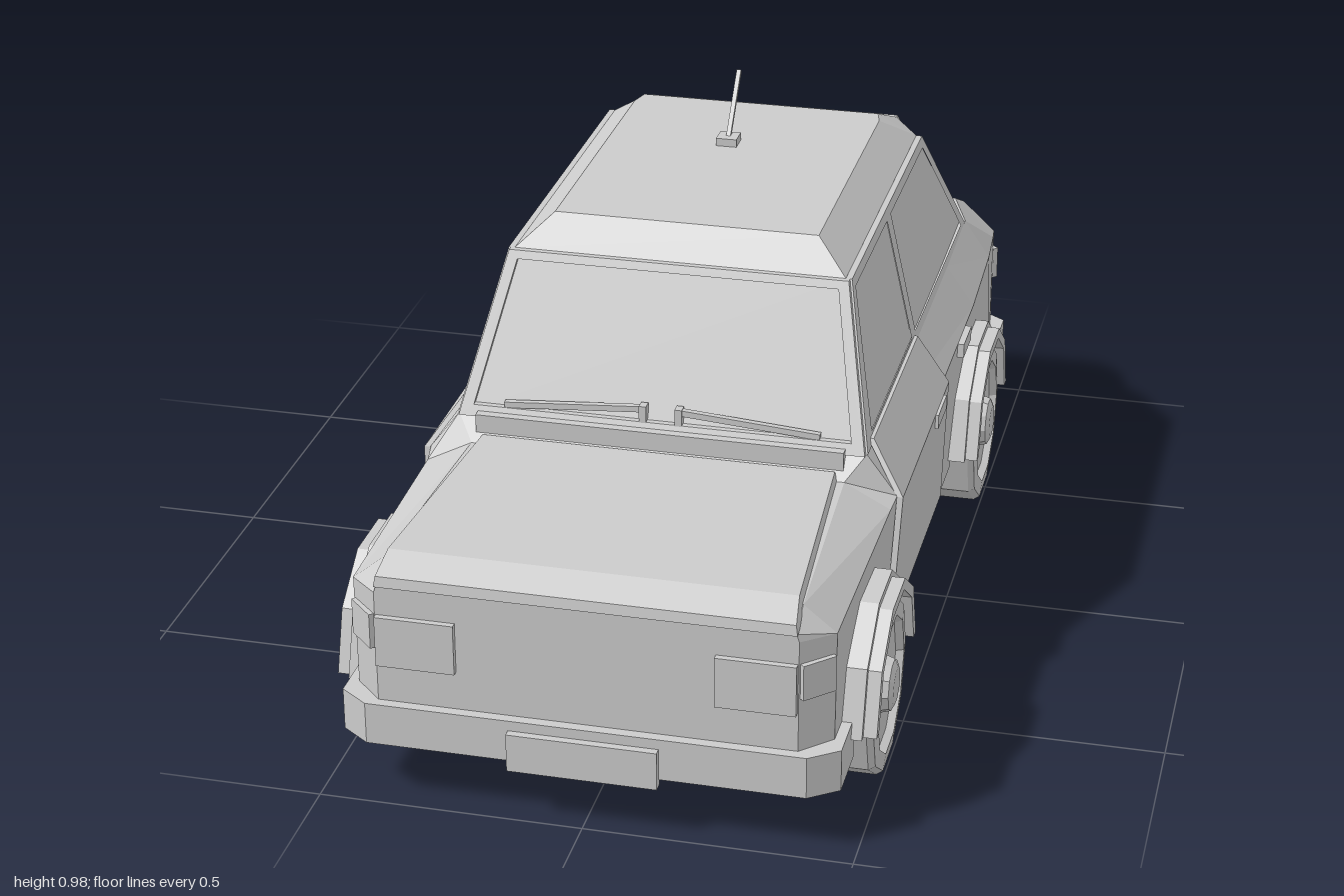
import * as THREE from 'three';

const grey = new THREE.MeshStandardMaterial({ color: 0xcccccc, flatShading: true });

export function createModel() {
  const car = new THREE.Group();

  const add = (name, geo) => {
    const mesh = new THREE.Mesh(geo, grey);
    mesh.name = name;
    car.add(mesh);
    return mesh;
  };

  // Mirrors a geometry in x and restores its winding
  const mirrored = (geo) => {
    const g = geo.index ? geo.toNonIndexed() : geo.clone();
    g.scale(-1, 1, 1);
    const p = g.attributes.position;
    const a = new THREE.Vector3(), b = new THREE.Vector3();
    for (let i = 0; i < p.count; i += 3) {
      a.fromBufferAttribute(p, i + 1);
      b.fromBufferAttribute(p, i + 2);
      p.setXYZ(i + 1, b.x, b.y, b.z);
      p.setXYZ(i + 2, a.x, a.y, a.z);
    }
    g.computeVertexNormals();
    return g;
  };
  const pair = (name, geo) => {
    add('left' + name, geo);
    add('right' + name, mirrored(geo));
  };

  const box = (w, h, d, x, y, z, turn = 0) =>
    new THREE.BoxGeometry(w, h, d).rotateY(turn).translate(x, y, z);

  // Skin over half sections of [x, y, z], each mirrored into a closed ring
  const loft = (halves) => {
    const rings = halves.map((h) => [...h, ...h.map(([x, y, z]) => [-x, y, z]).reverse()]);
    const n = rings[0].length, index = [];
    for (let k = 0; k < rings.length - 1; k++) {
      for (let i = 0; i < n; i++) {
        const a = k * n + i, b = k * n + (i + 1) % n;
        index.push(a, a + n, b, b, a + n, b + n);
      }
    }
    const last = (rings.length - 1) * n;
    for (let i = 1; i < n - 1; i++) index.push(0, i, i + 1, last, last + i + 1, last + i);
    const g = new THREE.BufferGeometry();
    g.setAttribute('position', new THREE.Float32BufferAttribute(rings.flat(2), 3));
    g.setIndex(index);
    g.computeVertexNormals();
    return g;
  };

  const vec = (pts) => pts.map(([x, y]) => new THREE.Vector2(x, y));

  // Sheet cut from an outline, leaned so its depth follows lean(y), then turned
  const sheet = (outline, holes, thick, lean, turn) => {
    const shape = new THREE.Shape(vec(outline));
    for (const h of holes) shape.holes.push(new THREE.Path(vec(h)));
    const g = new THREE.ExtrudeGeometry(shape, { depth: thick, bevelEnabled: false });
    const p = g.attributes.position;
    for (let i = 0; i < p.count; i++) p.setZ(i, p.getZ(i) + lean(p.getY(i)));
    g.rotateY(turn);
    g.computeVertexNormals();
    return g;
  };
  // Side sheets are drawn in [z, y]
  const sideSheet = (outline, holes, thick, lean) => {
    const flip = (pts) => pts.map(([z, y]) => [-z, y]);
    return sheet(flip(outline), holes.map(flip), thick, lean, Math.PI / 2);
  };

  // Lower body: z, bottom x, shoulder x and y, deck x and y
  const stations = [
    [0.965, 0.39, 0.39, 0.42, 0.385, 0.435],
    [0.91, 0.445, 0.447, 0.415, 0.385, 0.465],
    [0.44, 0.45, 0.455, 0.42, 0.365, 0.467],
    [0.4, 0.45, 0.46, 0.43, 0.4, 0.51],
    [-0.5, 0.45, 0.46, 0.43, 0.4, 0.515],
    [-0.74, 0.45, 0.455, 0.44, 0.4, 0.52],
    [-0.85, 0.447, 0.447, 0.44, 0.36, 0.525],
    [-0.91, 0.44, 0.44, 0.43, 0.37, 0.495],
    [-0.965, 0.385, 0.385, 0.41, 0.37, 0.43],
  ];
  add('lowerBody', loft(stations.map(([z, bx, sx, sy, dx, dy]) =>
    [[bx, 0.16, z], [sx, sy, z], [dx, dy, z]])));

  // Hood plate and cowl
  add('hood', loft([
    [[0.388, 0.435, 0.972], [0.385, 0.455, 0.968]],
    [[0.388, 0.45, 0.91], [0.378, 0.482, 0.91]],
    [[0.355, 0.45, 0.43], [0.345, 0.482, 0.43]],
  ]));
  add('cowl', box(0.72, 0.06, 0.05, 0, 0.49, 0.4));

  // Cabin, from roof down to the beltline
  add('cabin', loft([
    [[0.26, 0.857, 0.19], [0.26, 0.857, -0.43], [0.25, 0.857, -0.47]],
    [[0.325, 0.8, 0.25], [0.325, 0.8, -0.51], [0.27, 0.81, -0.58]],
    [[0.39, 0.51, 0.4], [0.39, 0.51, -0.74], [0.33, 0.52, -0.85]],
  ]));

  // Window frames on all four sides of the cabin
  const sideLean = (y) => 0.39 - (y - 0.51) * 0.224;
  pair('WindowFrame', sideSheet(
    [[0.4, 0.51], [0.25, 0.8], [-0.51, 0.8], [-0.74, 0.51]],
    [
      [[0.34, 0.53], [0.235, 0.78], [-0.09, 0.78], [-0.09, 0.53]],
      [[-0.13, 0.53], [-0.13, 0.78], [-0.495, 0.78], [-0.69, 0.53]],
    ], 0.012, sideLean));
  const frontLean = (y) => 0.4 - (y - 0.51) * 0.517;
  const trapezoid = (xb, yb, xt, yt) => [[-xb, yb], [xb, yb], [xt, yt], [-xt, yt]];
  add('windshieldFrame', sheet(trapezoid(0.398, 0.51, 0.333, 0.8),
    [trapezoid(0.37, 0.53, 0.315, 0.785)], 0.012, frontLean, 0));
  add('rearWindowFrame', sheet(trapezoid(0.33, 0.52, 0.27, 0.81),
    [trapezoid(0.3, 0.545, 0.245, 0.795)], 0.012, (y) => 0.58 + (0.81 - y) * 0.931, Math.PI));

  // Doors: lower skin and sloping upper skin
  pair('DoorLower', sideSheet(
    [[0.425, 0.17], [0.43, 0.27], [0.405, 0.43], [-0.115, 0.43], [-0.115, 0.17]],
    [], 0.012, (y) => 0.45 + (y - 0.16) * 0.037));
  pair('DoorUpper', sideSheet(
    [[0.405, 0.43], [0.36, 0.525], [-0.115, 0.525], [-0.115, 0.43]],
    [], 0.012, (y) => 0.46 - (y - 0.43) * 0.7));
  pair('Sill', box(0.04, 0.03, 0.74, 0.43, 0.155, 0.06));
  pair('FrontHandle', box(0.02, 0.03, 0.095, 0.468, 0.415, -0.005));
  pair('RearHandle', box(0.02, 0.03, 0.095, 0.463, 0.415, -0.345));

  // Wheels with dished faces and stepped arches
  const wheelProfile = vec([
    [0, 0.322], [0.1735, 0.322], [0.1735, 0.485], [0.165, 0.497], [0.132, 0.5], [0.125, 0.485],
    [0.055, 0.485], [0.05, 0.503], [0.035, 0.51], [0, 0.51],
  ]);
  const halfRing = (outer, inner, x0, x1, z) => {
    const arc = (r) => Array.from({ length: 6 }, (_, i) =>
      [z + r * Math.cos(i * Math.PI / 5), 0.168 + r * Math.sin(i * Math.PI / 5)]);
    return sideSheet([...arc(outer), ...arc(inner).reverse()], [], x1 - x0, () => x0);
  };
  for (const [end, z] of [['Front', 0.645], ['Rear', -0.49]]) {
    const wheel = new THREE.LatheGeometry(wheelProfile, 10)
      .rotateZ(-Math.PI / 2).translate(0, 0.165, z);
    pair(end + 'Wheel', wheel);
    pair(end + 'ArchOuter', halfRing(0.213, 0.178, 0.4, 0.485, z));
    pair(end + 'ArchInner', halfRing(0.2, 0.178, 0.4, 0.51, z));
  }

  // Bumpers, plates and lamps at both ends
  for (const [end, s] of [['front', 1], ['rear', -1]]) {
    const outline = [[-0.465, 0.83], [0.465, 0.83], [0.465, 0.945], [0.41, 0.985],
      [-0.41, 0.985], [-0.465, 0.945]];
    const bumper = new THREE.ExtrudeGeometry(new THREE.Shape(vec(outline)),
      { depth: 0.083, bevelEnabled: false });
    bumper.rotateX(Math.PI / 2).translate(0, 0.198, 0);
    if (s < 0) bumper.rotateY(Math.PI);
    add(end + 'Bumper', bumper);
    add(end + 'Plate', box(0.28, 0.076, 0.02, 0, 0.14, s * 0.99));
    const [w, h, y] = s > 0 ? [0.148, 0.1, 0.325] : [0.13, 0.065, 0.35];
    pair(end + 'Lamp', box(w, h, 0.02, 0.388 - w / 2, y, s * 0.967));
    pair(end + 'CornerLamp', box(0.07, 0.07, 0.02, 0.417, s > 0 ? 0.34 : 0.35, s * 0.938, s * Math.PI / 4));
  }

  // Wipers
  for (const s of [-1, 1]) {
    const blade = add('wiper', box(0.275, 0.012, 0.012, 0, 0, 0));
    blade.position.set(s * 0.172, 0.545, frontLean(0.545) + 0.012);
    blade.rotation.z = -s * 0.075;
    add('wiperArm', box(0.014, 0.045, 0.02, s * 0.035, 0.54, frontLean(0.54) + 0.008));
  }

  // Aerial
  add('aerialBase', box(0.042, 0.018, 0.042, -0.015, 0.864, -0.238));
  const rod = add('aerialRod', box(0.009, 0.15, 0.009, 0, 0, 0));
  rod.position.set(-0.015, 0.922, -0.285);
  rod.rotation.x = -0.72;

  return car;
}
